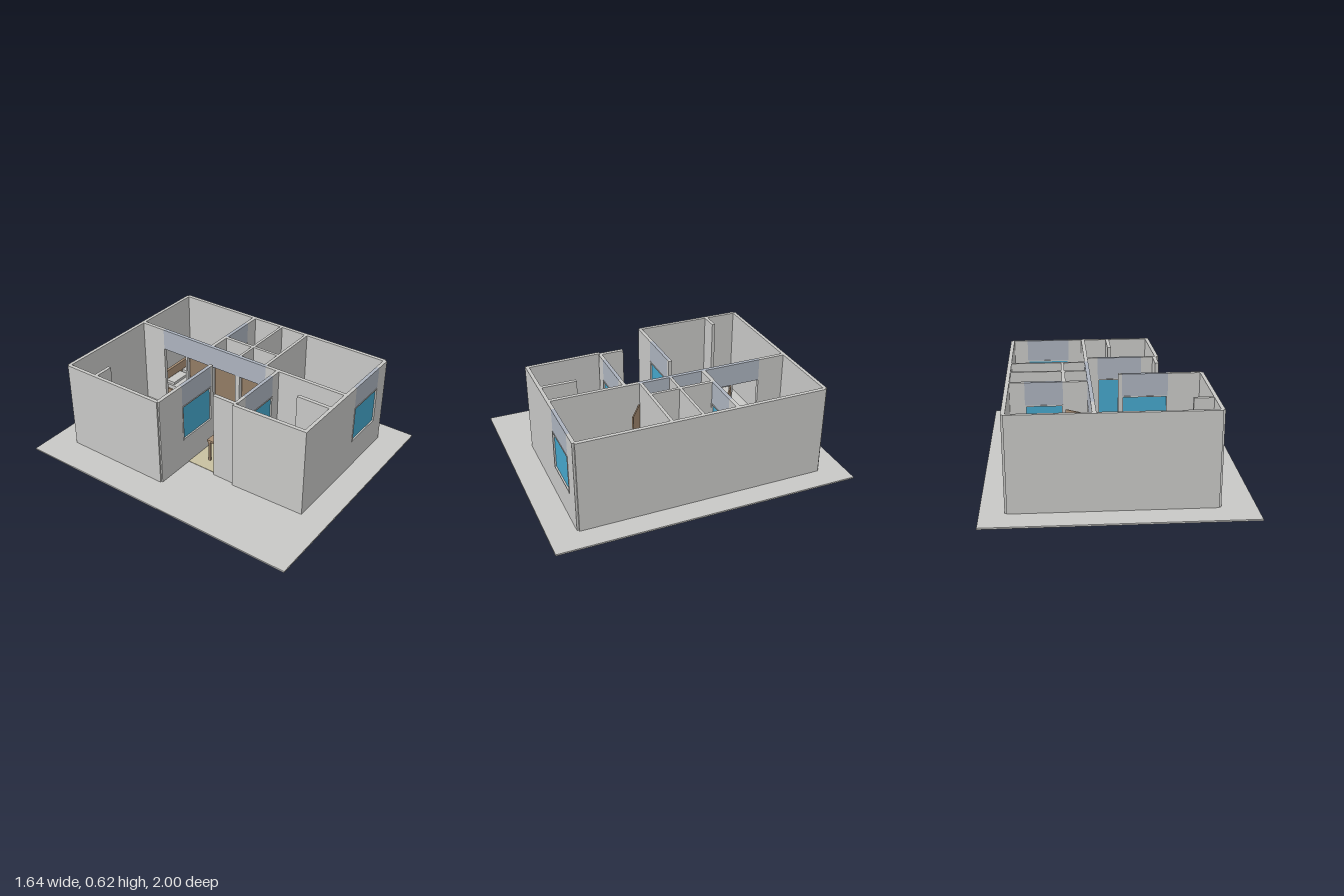
import * as THREE from 'three';

const mat = (name, color) => {
  const m = new THREE.MeshStandardMaterial({ color });
  m.name = name;
  return m;
};

export function createModel() {
  const house = new THREE.Group();
  house.name = 'house';
  const plaster = mat('plaster', 0xc8c8c6);
  const lintel = mat('lintel', 0xacb3be);
  const glass = mat('glass', 0x45a6cb);
  const flooring = mat('flooring', 0xc8c0a0);
  const wood = mat('wood', 0xa98f75);
  const BASE = 0.01, SILL = 0.21, HEAD = 0.47, TOP = 0.62;

  // Box given by its limits on each axis
  const box = (name, m, x0, x1, y0, y1, z0, z1, parent = house) => {
    const mesh = new THREE.Mesh(new THREE.BoxGeometry(x1 - x0, y1 - y0, z1 - z0), m);
    mesh.position.set((x0 + x1) / 2, (y0 + y1) / 2, (z0 + z1) / 2);
    mesh.name = name;
    parent.add(mesh);
    return mesh;
  };
  const wall = (name, x0, x1, z0, z1) => box(name, plaster, x0, x1, BASE, TOP, z0, z1);

  // Wall along x with a framed window between w0 and w1
  const windowWall = (name, x0, x1, z0, z1, w0, w1) => {
    wall(name, x0, w0, z0, z1);
    wall(name, w1, x1, z0, z1);
    box(name + 'Sill', plaster, w0, w1, BASE, SILL, z0, z1);
    box(name + 'Lintel', lintel, w0, w1, HEAD, TOP, z0, z1);
    const zm = (z0 + z1) / 2, t = 0.008, f0 = z0 - 0.003, f1 = z1 + 0.003;
    box('windowPane', glass, w0 + t, w1 - t, SILL + t, HEAD - t, zm - 0.004, zm + 0.004);
    for (const y of [SILL, HEAD - t]) box('windowFrame', plaster, w0, w1, y, y + t, f0, f1);
    for (const x of [w0, w1 - t]) box('windowFrame', plaster, x, x + t, SILL, HEAD, f0, f1);
  };

  // Ground slab and coloured floors
  box('ground', plaster, -0.82, 0.82, 0, BASE, -1, 1);
  box('livingFloor', flooring, -0.585, 0.13, BASE, 0.013, -0.585, -0.07);
  box('diningFloor', flooring, -0.325, 0.13, BASE, 0.013, -0.07, 0.3);
  box('sideRoomFloor', flooring, -0.335, -0.05, BASE, 0.013, 0.32, 0.797);

  // Outer walls
  wall('backWall', -0.595, 0.657, -0.833, -0.81);
  wall('leftSideWall', 0.645, 0.67, -0.822, 0.807);
  wall('livingSideWall', -0.607, -0.583, -0.822, -0.078);
  windowWall('frontWall', -0.345, 0.657, 0.797, 0.82, 0.25, 0.55);
  windowWall('livingFrontWall', -0.597, -0.05, -0.092, -0.068, -0.375, -0.075);
  wall('entranceWall', -0.343, -0.318, 0.15, 0.315);
  const slanted = wall('slantedWall', -0.3525, -0.3275, 0.31, 0.815);
  slanted.rotation.y = 0.03;

  // Inner walls
  wall('livingStub', -0.585, -0.46, -0.605, -0.582);
  windowWall('diningWall', -0.32, 0.13, 0.3, 0.323, -0.24, 0.06);
  wall('sideRoomPartition', -0.05, -0.025, 0.57, 0.797);
  windowWall('bathBackWall', 0.155, 0.645, -0.235, -0.21, 0.31, 0.55);
  wall('bathMiddleWall', 0.155, 0.645, -0.003, 0.015);
  wall('bathFrontWall', 0.155, 0.645, 0.198, 0.218);
  wall('bathPartition', 0.292, 0.315, -0.21, 0);
  wall('bathPartition', 0.295, 0.315, 0.015, 0.2);

  // Central wall with a long lintel over the doorways
  wall('centralWall', 0.13, 0.155, -0.81, -0.63);
  wall('centralWall', 0.13, 0.155, 0.22, 0.797);
  box('centralLintel', lintel, 0.13, 0.155, HEAD, TOP, -0.63, 0.22);
  for (const [a, b] of [[-0.44, -0.425], [-0.25, -0.21], [-0.02, 0.015], [0.195, 0.22]])
    box('doorPost', plaster, 0.13, 0.155, BASE, HEAD, a, b);

  // Open doors, hinged on the central wall
  for (const [z, length] of [[-0.425, 0.17], [-0.205, 0.165], [0.017, 0.155], [0.222, 0.165]]) {
    const hinge = new THREE.Group();
    hinge.name = 'door';
    hinge.position.set(0.155, 0, z);
    hinge.rotation.y = -0.62;
    box('doorLeaf', wood, 0, length, BASE, HEAD, -0.004, 0.004, hinge);
    house.add(hinge);
  }

  // Beds
  for (const z of [-0.735, 0.285]) {
    const bed = new THREE.Group();
    bed.name = 'bed';
    bed.position.z = z;
    house.add(bed);
    box('headboard', wood, 0.205, 0.595, BASE, 0.2, 0, 0.02, bed);
    box('bedFrame', wood, 0.205, 0.595, BASE, 0.09, 0.02, 0.43, bed);
    box('mattress', plaster, 0.216, 0.584, 0.09, 0.12, 0.02, 0.42, bed);
    for (const x of [0.23, 0.413]) box('pillow', plaster, x, x + 0.157, 0.12, 0.14, 0.028, 0.1, bed);
  }

  // Sofa
  box('sofaSeat', plaster, -0.445, -0.01, BASE, 0.11, -0.385, -0.26);
  box('sofaBack', plaster, -0.445, -0.01, BASE, 0.2, -0.42, -0.385);

  // Tables and counter
  const table = (name, m, x0, x1, z0, z1, h) => {
    box(name + 'Top', m, x0, x1, h - 0.015, h, z0, z1);
    for (const x of [x0 + 0.005, x1 - 0.02])
      for (const z of [z0 + 0.005, z1 - 0.02])
        box(name + 'Leg', m, x, x + 0.015, BASE, h - 0.015, z, z + 0.015);
  };
  table('coffeeTable', wood, -0.355, -0.1, -0.215, -0.125, 0.1);
  table('diningTable', wood, -0.245, 0.06, 0.025, 0.205, 0.18);
  box('counter', lintel, -0.33, -0.065, BASE, 0.16, 0.49, 0.63);

  // Bathroom fittings
  for (const z of [-0.175, 0.042]) {
    box('toiletTank', plaster, 0.38, 0.465, BASE, 0.16, z, z + 0.03);
    box('toiletBowl', plaster, 0.38, 0.465, BASE, 0.1, z + 0.03, z + 0.125);
    box('washBasin', plaster, 0.485, 0.58, BASE, 0.16, z + 0.022, z + 0.106);
  }

  return house;
}
